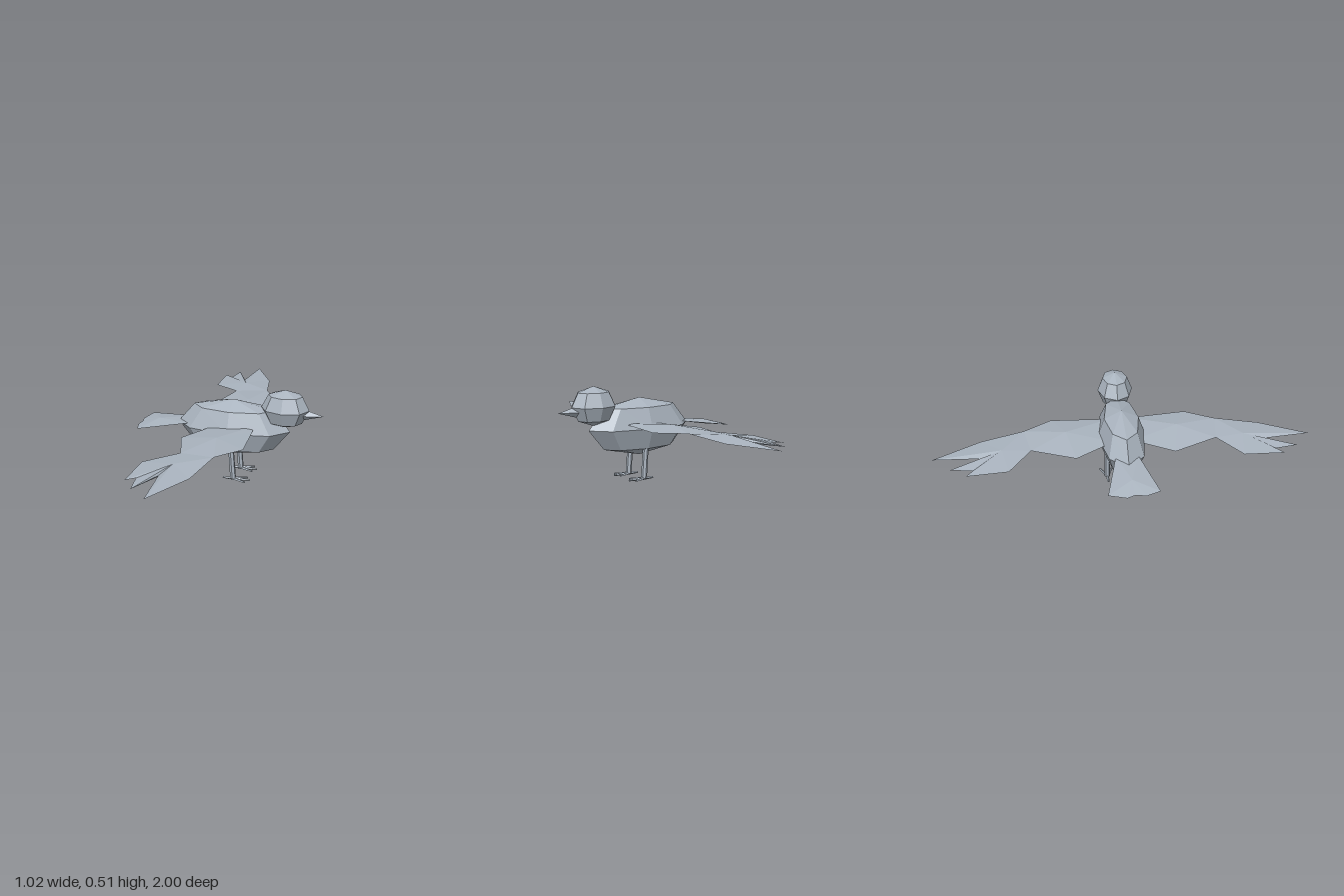
import * as THREE from 'three';

const plumage = new THREE.MeshStandardMaterial({ color: 0xa9b3be });
plumage.name = 'blueGrey';

// Flat-shaded mesh in the single body colour
function part(name, geometry) {
  const flat = geometry.index ? geometry.toNonIndexed() : geometry;
  flat.computeVertexNormals();
  const mesh = new THREE.Mesh(flat, plumage);
  mesh.name = name;
  return mesh;
}

// Thin feather panel: a closed rim joined to one raised and one lowered hub point.
// The rim runs from +x over +z to -x; side -1 mirrors it in z.
function panel(name, rim, [hx, top, bottom, hz], side = 1) {
  const pts = rim.map(([x, y, z]) => [x, y, z * side]);
  if (side < 0) pts.reverse();
  const pos = [];
  pts.forEach((a, i) => {
    const b = pts[(i + 1) % pts.length];
    pos.push(hx, top, hz * side, ...b, ...a);
    pos.push(hx, bottom, hz * side, ...a, ...b);
  });
  const g = new THREE.BufferGeometry();
  g.setAttribute('position', new THREE.Float32BufferAttribute(pos, 3));
  return part(name, g);
}

// Tapered rod between two points
function rod(name, from, to, r0, r1, sides) {
  const a = new THREE.Vector3(...from), b = new THREE.Vector3(...to);
  const dir = b.clone().sub(a);
  const g = new THREE.CylinderGeometry(r1, r0, dir.length(), sides);
  g.applyQuaternion(new THREE.Quaternion().setFromUnitVectors(new THREE.Vector3(0, 1, 0), dir.normalize()));
  const mid = a.add(b).multiplyScalar(0.5);
  g.translate(mid.x, mid.y, mid.z);
  return part(name, g);
}

// Coarse ellipsoid with eight sides and four bands
function ellipsoid(name, x, y, rx, ry, rz) {
  const g = new THREE.SphereGeometry(1, 8, 4);
  g.scale(rx, ry, rz);
  g.translate(x, y, 0);
  return part(name, g);
}

function wing(name, side) {
  const group = new THREE.Group();
  group.name = name;
  const elbowFront = [0.075, 0.316, 0.52], elbowRear = [-0.105, 0.306, 0.49];
  const inner = [
    [0.15, 0.31, 0.05], [0.16, 0.308, 0.13], [0.18, 0.308, 0.37], elbowFront,
    elbowRear, [-0.185, 0.29, 0.26], [-0.06, 0.295, 0.05],
  ];
  const outer = [ // leading edge, three feather tips, trailing edge
    elbowFront, [0.03, 0.297, 0.75], [-0.1, 0.289, 1], [-0.125, 0.292, 0.745],
    [-0.2, 0.285, 0.91], [-0.22, 0.286, 0.79], [-0.265, 0.285, 0.825],
    [-0.26, 0.29, 0.61], elbowRear,
  ];
  group.add(panel('innerWing', inner, [0.02, 0.328, 0.298, 0.3], side));
  group.add(panel('outerWing', outer, [-0.09, 0.312, 0.28, 0.64], side));
  return group;
}

function leg(name, side) {
  const group = new THREE.Group();
  group.name = name;
  const z = 0.076 * side;
  group.add(rod('shank', [0.042, 0.01, z], [0.028, 0.21, z], 0.016, 0.015, 6));
  // Three toes forward, one back
  const toes = [[0.135, 0], [0.115, 0.033], [0.115, -0.033], [-0.015, 0]];
  for (const [x, dz] of toes) {
    group.add(rod('toe', [0.04, 0.009, z], [x, 0.008, z + dz], 0.009, 0.005, 4));
  }
  return group;
}

export function createModel() {
  const model = new THREE.Group();
  model.name = 'bird';
  const bird = new THREE.Group();
  bird.name = 'birdBody';

  bird.add(ellipsoid('body', 0.023, 0.28, 0.311, 0.155, 0.13));
  bird.add(ellipsoid('head', 0.304, 0.408, 0.129, 0.104, 0.096));

  // Four-sided beak pointing along +x
  const beak = new THREE.ConeGeometry(0.036, 0.13, 4);
  beak.rotateZ(-Math.PI / 2);
  beak.translate(0.445, 0.385, 0);
  bird.add(part('beak', beak));

  // Spread tail fan
  bird.add(panel('tail', [
    [-0.2, 0.295, 0.058], [-0.48, 0.258, 0.132], [-0.505, 0.254, 0.06], [-0.497, 0.256, 0],
    [-0.511, 0.253, -0.04], [-0.485, 0.258, -0.132], [-0.2, 0.295, -0.058],
  ], [-0.4, 0.283, 0.256, 0]));

  for (const [end, side] of [['front', 1], ['back', -1]]) {
    bird.add(wing(end + 'Wing', side));
    bird.add(leg(end + 'Leg', side));
  }

  // The whole bird is turned slightly
  bird.rotation.y = 0.07;
  bird.position.z = -0.007;
  model.add(bird);
  return model;
}
